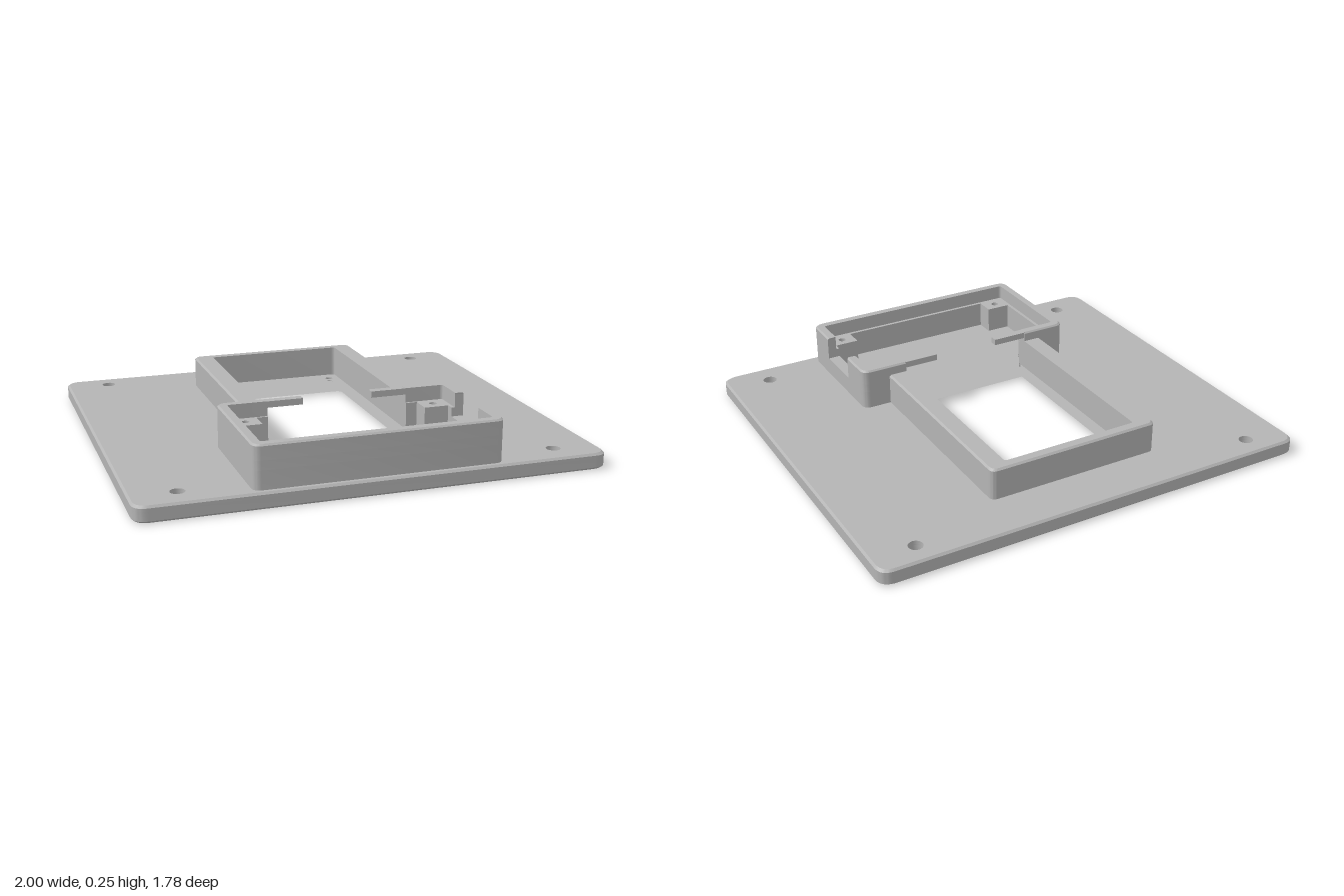
import * as THREE from 'three';
import { toCreasedNormals } from 'three/addons/utils/BufferGeometryUtils.js';

const grey = new THREE.MeshStandardMaterial({ color: 0xb4b4b4 });
grey.name = 'grey plastic';

// Outline from [x, z, cornerRadius] points, drawn in plan
function trace(path, pts) {
  const v = pts.map(([x, z]) => new THREE.Vector2(x, -z));
  const n = v.length;
  for (let i = 0; i < n; i++) {
    const p = v[i], r = pts[i][2] || 0;
    const a = p.clone().add(v[(i + n - 1) % n].clone().sub(p).setLength(r));
    const b = p.clone().add(v[(i + 1) % n].clone().sub(p).setLength(r));
    if (i === 0) path.moveTo(a.x, a.y); else path.lineTo(a.x, a.y);
    if (r) path.quadraticCurveTo(p.x, p.y, b.x, b.y);
  }
  path.closePath();
  return path;
}

const circle = (x, z, r) => new THREE.Path().absarc(x, -z, r, 0, Math.PI * 2);
const mirror = pts => pts.map(([x, z, r]) => [-x, z, r]).reverse();

// Flat slab from y0 to y1; edge = {y, hx, hz, cz, c} pulls the outer rim in at height y
function slab(name, pts, holes, y0, y1, edge) {
  const shape = trace(new THREE.Shape(), pts);
  shape.holes = holes;
  let geo = new THREE.ExtrudeGeometry(shape, { depth: y1 - y0, bevelEnabled: false, curveSegments: 10 });
  geo.rotateX(-Math.PI / 2).translate(0, y0, 0);
  if (edge) {
    const p = geo.attributes.position;
    const { y, hx, hz, cz, c } = edge;
    for (let i = 0; i < p.count; i++) {
      const x = p.getX(i), z = p.getZ(i) - cz;
      if (Math.abs(p.getY(i) - y) > 1e-4) continue;
      if (Math.max(Math.abs(x) / hx, Math.abs(z) / hz) < 0.96) continue;
      p.setX(i, x * (1 - c / hx));
      p.setZ(i, cz + z * (1 - c / hz));
    }
    geo.computeVertexNormals();
  }
  geo = toCreasedNormals(geo, 0.5);
  const mesh = new THREE.Mesh(geo, grey);
  mesh.name = name;
  return mesh;
}

// Slab whose top outer rim is chamfered
function cappedSlab(name, pts, holes, y0, y1, rim) {
  const group = new THREE.Group();
  group.name = name;
  group.add(slab(name + 'Body', pts, holes, y0, y1 - rim.c));
  group.add(slab(name + 'Rim', pts, holes, y1 - rim.c, y1, { ...rim, y: y1 }));
  return group;
}

export function createModel() {
  const model = new THREE.Group();
  model.name = 'mountingPlate';

  // Half of the lower cavity, stepping around the corner posts
  const cavity = [[0.315, 0.335], [0.365, 0.335], [0.365, 0.425], [0.475, 0.425],
    [0.475, 0.725], [0.365, 0.725], [0.365, 0.81]];
  const back = [[-0.315, -0.52, 0.03], [0.315, -0.52, 0.03]];

  // Base plate: lower layer with the window, upper layer also with the pocket
  const plate = [[-1, -0.89, 0.06], [1, -0.89, 0.06], [1, 0.89, 0.06], [-1, 0.89, 0.06]];
  const plateRim = { hx: 1, hz: 0.89, cz: 0, c: 0.009 };
  const screwHoles = () => [-0.805, 0.805].flatMap(x => [circle(x, -0.79, 0.031), circle(x, 0.77, 0.031)]);
  const window_ = () => trace(new THREE.Path(), [...back, [0.315, 0.305], [-0.315, 0.305]]);
  const pocket = () => trace(new THREE.Path(), [...back, ...cavity, ...mirror(cavity)]);
  const ledgeHoles = () => [-0.265, 0.265].map(x => circle(x, -0.555, 0.017));
  model.add(slab('plateBottomEdge', plate, [window_(), ...screwHoles()], 0, 0.009, { ...plateRim, y: 0 }));
  model.add(slab('plateFloor', plate, [window_(), ...screwHoles()], 0.009, 0.05));
  model.add(cappedSlab('plateTop', plate, [pocket(), ...screwHoles(), ...ledgeHoles()], 0.05, 0.07, plateRim));

  // U-shaped wall around the window
  const railHalf = [[0.315, 0.29], [0.4, 0.29], [0.4, -0.665, 0.03]];
  const railInner = [[-0.315, -0.62, 0.015], [0.315, -0.62, 0.015]];
  model.add(cappedSlab('windowFrame', [...railHalf, ...mirror(railHalf), ...railInner], [], 0.07, 0.21,
    { hx: 0.4, hz: 0.665, cz: 0, c: 0.008 }));

  // Housing, lower part with corner posts and an open back
  const r = 0.04;
  const post = (x, z) => circle(x, z, 0.017);
  const leftOuter = [[0.53, 0.865, r], [-0.53, 0.865, r], [-0.53, 0.285, r], [-0.315, 0.285]];
  const leftInner = mirror(cavity).reverse();
  model.add(slab('housingLower',
    [[0.315, 0.285], [0.53, 0.285, r], ...leftOuter, ...leftInner, ...cavity.slice().reverse()],
    [-0.425, 0.425].flatMap(x => [post(x, 0.375), post(x, 0.77)]), 0.07, 0.15));

  // Housing, middle part, cut by the cable notch in the side wall
  model.add(slab('housingMiddleBack',
    [[0.315, 0.285], [0.53, 0.285, r], [0.53, 0.46], [0.475, 0.46], ...cavity.slice(0, 4).reverse()],
    [post(0.425, 0.375)], 0.15, 0.19));
  model.add(slab('housingMiddleFront',
    [[0.53, 0.69], ...leftOuter, ...leftInner, ...cavity.slice(4).reverse(), [0.475, 0.69]],
    [post(-0.425, 0.375), post(-0.425, 0.77), post(0.425, 0.77)], 0.15, 0.19));

  // Housing, upper part with thinner walls
  const rim = { hx: 0.53, hz: 0.29, cz: 0.575, c: 0.007 };
  model.add(cappedSlab('housingUpperBack',
    [[0.315, 0.285], [0.53, 0.285, r], [0.53, 0.46], [0.49, 0.46], [0.49, 0.325, 0.012], [0.315, 0.325]],
    [], 0.19, 0.255, rim));
  model.add(cappedSlab('housingUpperFront',
    [[0.53, 0.69], ...leftOuter, [-0.315, 0.325], [-0.49, 0.325, 0.012], [-0.49, 0.825, 0.012],
      [0.49, 0.825, 0.012], [0.49, 0.69]],
    [], 0.19, 0.255, rim));

  // Slim bars reaching over the open back
  for (const s of [-1, 1]) {
    const bar = new THREE.Mesh(new THREE.BoxGeometry(0.165, 0.028, 0.036), grey);
    bar.position.set(s * 0.2375, 0.24, 0.306);
    bar.name = s > 0 ? 'leftBar' : 'rightBar';
    model.add(bar);
  }
  return model;
}
